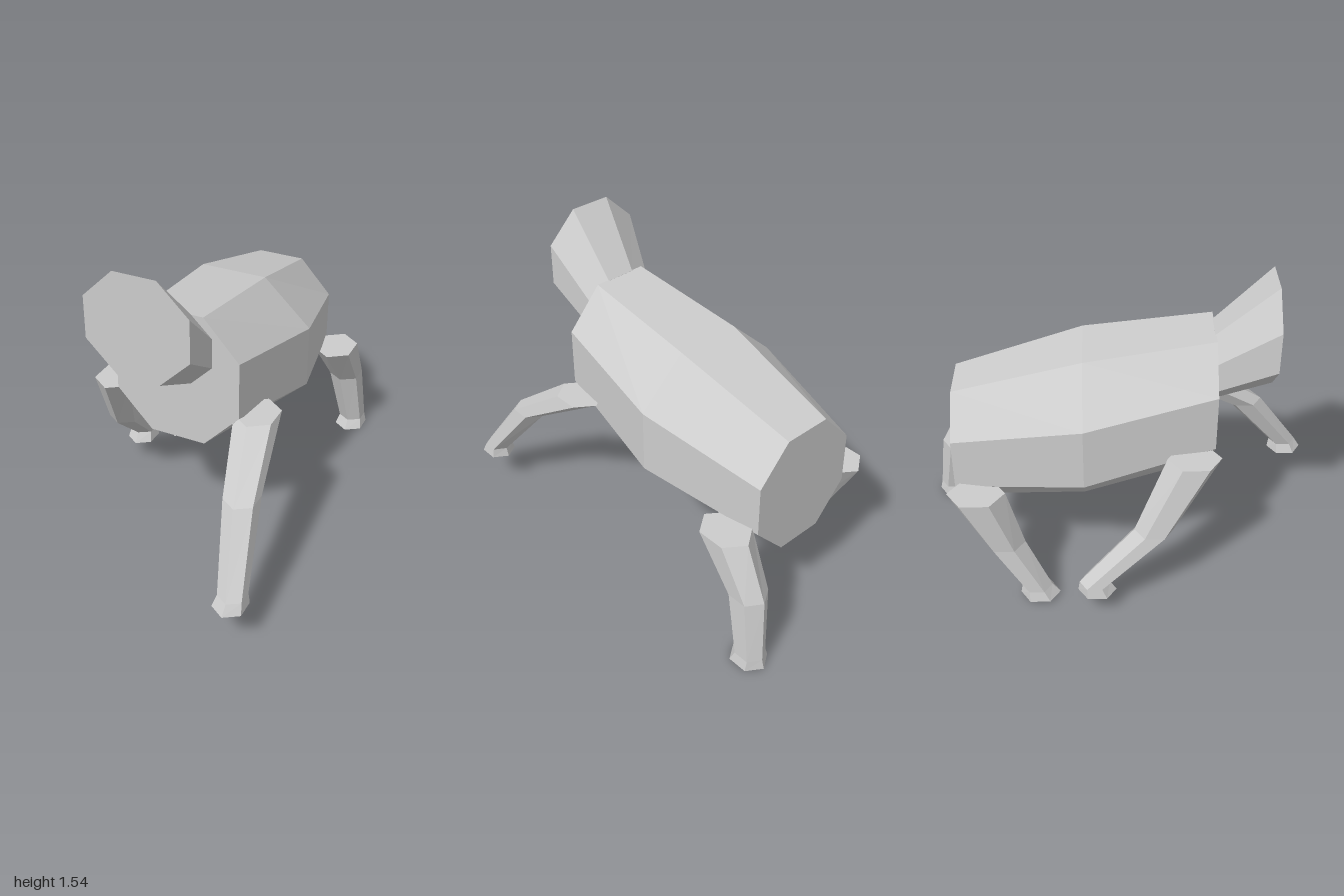
import * as THREE from 'three';

const grey = new THREE.MeshStandardMaterial({ color: 0xcccccc, flatShading: true });
grey.name = 'grey';

// Skin a closed solid through rings; each ring runs counterclockwise seen from the last ring's side
function loft(name, rings) {
  const n = rings[0].length, pos = [];
  const tri = (...pts) => pts.forEach((p) => pos.push(...p));
  for (let r = 0; r < rings.length - 1; r++) {
    const a = rings[r], b = rings[r + 1];
    for (let i = 0; i < n; i++) {
      const j = (i + 1) % n;
      tri(a[i], a[j], b[j]);
      tri(a[i], b[j], b[i]);
    }
  }
  const first = rings[0], last = rings[rings.length - 1];
  for (let i = 1; i < n - 1; i++) {
    tri(first[0], first[i + 1], first[i]);
    tri(last[0], last[i], last[i + 1]);
  }
  const geo = new THREE.BufferGeometry();
  geo.setAttribute('position', new THREE.Float32BufferAttribute(pos, 3));
  geo.computeVertexNormals();
  const mesh = new THREE.Mesh(geo, grey);
  mesh.name = name;
  return mesh;
}

// Upright octagon: centre x, half width at the sides, half width at top and bottom, four heights
function octagon(z, cx, side, flat, [y0, y1, y2, y3]) {
  return [
    [cx + flat, y0, z], [cx + side, y1, z], [cx + side, y2, z], [cx + flat, y3, z],
    [cx - flat, y3, z], [cx - side, y2, z], [cx - side, y1, z], [cx - flat, y0, z],
  ];
}

// Level hexagon with a corner pointing forward
function hexagon([y, cx, cz, rx, rz]) {
  return Array.from({ length: 6 }, (_, i) => {
    const a = Math.PI / 2 + (i * Math.PI) / 3;
    return [cx + (rx * Math.cos(a)) / Math.cos(Math.PI / 6), y, cz - rz * Math.sin(a)];
  });
}

// Leg sections from sole to top: [y, x, z, half width, half depth]
const legs = {
  frontLeftLeg: [
    [0.195, 0.503, 0.91, 0.07, 0.09], [0.245, 0.507, 0.898, 0.058, 0.07],
    [0.57, 0.435, 0.655, 0.072, 0.093], [0.79, 0.36, 0.33, 0.09, 0.125],
  ],
  frontRightLeg: [
    [0.115, -0.507, -0.125, 0.068, 0.092], [0.165, -0.507, -0.138, 0.058, 0.072],
    [0.435, -0.44, 0.145, 0.072, 0.093], [0.79, -0.36, 0.33, 0.092, 0.125],
  ],
  backLeftLeg: [
    [0, 0.413, -0.9, 0.073, 0.097], [0.05, 0.415, -0.91, 0.06, 0.076],
    [0.355, 0.38, -0.85, 0.075, 0.097], [0.605, 0.365, -0.685, 0.095, 0.137],
  ],
  backRightLeg: [
    [0.015, -0.418, -0.405, 0.073, 0.097], [0.065, -0.418, -0.42, 0.06, 0.073],
    [0.315, -0.38, -0.565, 0.075, 0.097], [0.605, -0.367, -0.685, 0.097, 0.137],
  ],
};

export function createModel() {
  const model = new THREE.Group();
  model.name = 'quadruped';

  // Barrel body, widest in the middle
  model.add(loft('body', [
    octagon(-0.79, -0.008, 0.28, 0.118, [0.405, 0.585, 0.84, 1.015]),
    octagon(-0.18, -0.002, 0.398, 0.163, [0.44, 0.66, 0.97, 1.19]),
    octagon(0.43, 0.005, 0.307, 0.135, [0.615, 0.8, 1.08, 1.27]),
  ]));

  // Flaring head with a flat face
  model.add(loft('head', [
    octagon(0.425, 0.004, 0.176, 0.073, [0.92, 1.025, 1.17, 1.27]),
    octagon(0.69, -0.037, 0.248, 0.102, [1.055, 1.2, 1.402, 1.545]),
  ]));

  // Four legs in mid stride
  for (const [name, sections] of Object.entries(legs)) {
    model.add(loft(name, sections.map(hexagon)));
  }
  return model;
}
